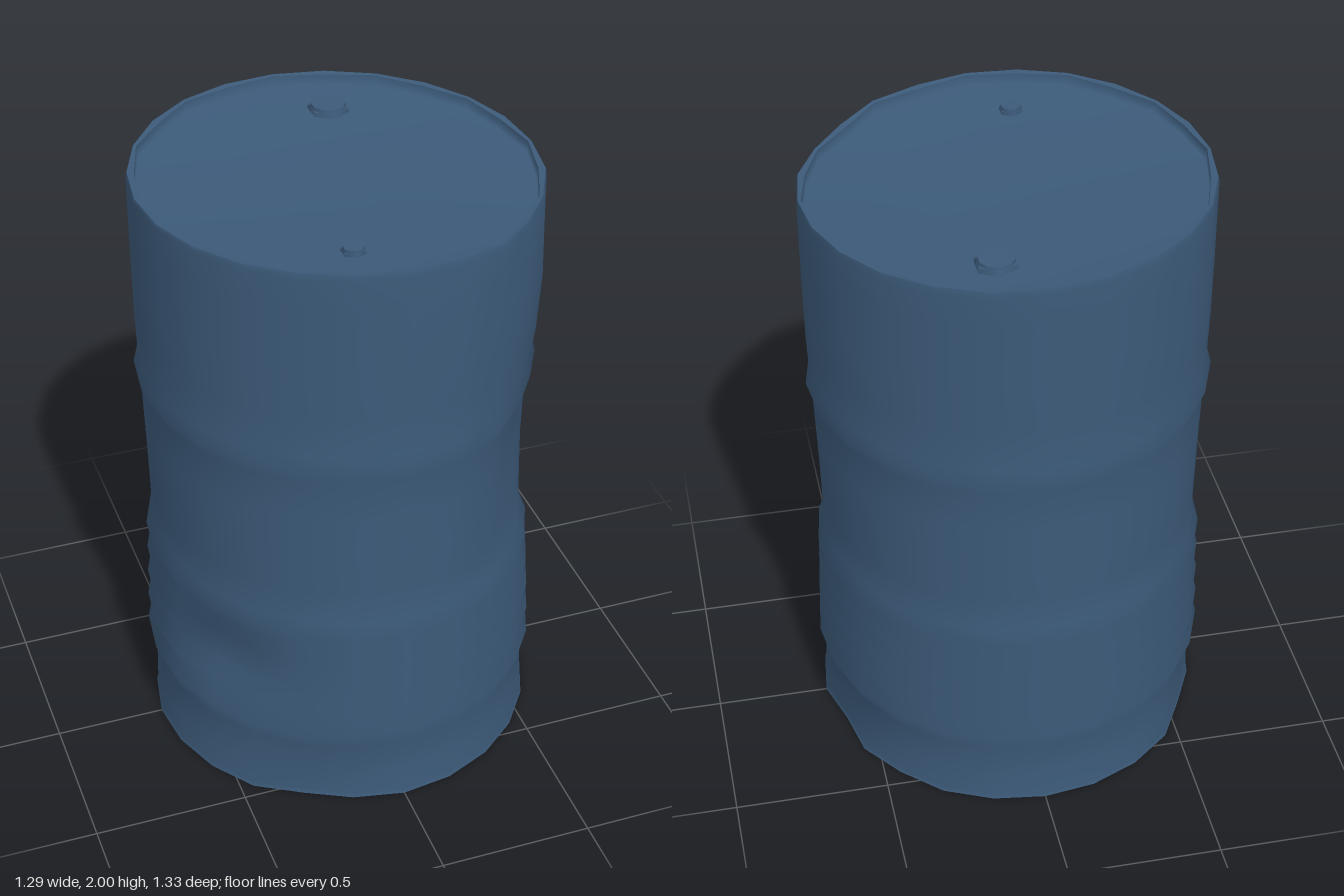
import * as THREE from 'three';

const SIDES = 24;

// Dents: angle from the front towards +x, height, depth, angular width, vertical width
const DENTS = [
  [0.96, 1.08, 0.055, 0.36, 0.36],
  [-0.96, 0.48, 0.05, 0.26, 0.14],
  [-0.42, 0.03, 0.04, 0.15, 0.12],
  [1.8, 0.03, 0.035, 0.13, 0.12],
  [2.25, 0.05, 0.025, 0.13, 0.1],
  [-2.0, 0.03, 0.035, 0.15, 0.12],
  [0.9, 2.0, 0.02, 0.2, 0.15],
  [0.2, 2.0, 0.012, 0.15, 0.12],
];

const bump = (t) => Math.exp(-t * t);
const wrap = (a) => Math.atan2(Math.sin(a), Math.cos(a));

// Point on the battered shell at angle a and height y, moved out by `out`
function shellPoint(a, y, out = 0) {
  const waist = bump((y - 0.75) / 0.5);
  const s = Math.sin(a), c = Math.cos(a);
  const rx = 0.64 - 0.02 * waist - (s > 0 ? 0.008 : 0);
  const rz = c > 0 ? 0.638 + 0.01 * bump(y / 0.8) : 0.65;
  let r = 1 / Math.hypot(s / rx, c / rz) + out;
  for (const [da, dy, depth, wa, wy] of DENTS) {
    r -= depth * bump(wrap(a - da) / wa) * bump((y - dy) / wy);
  }
  const sag = 0.012 * y * s * r + 0.022 * bump(wrap(a - 0.95) / 0.6) * bump((y - 2) / 0.2);
  const lift = 0.012 * y * 0.64 * y / 2;
  return [s * r, Math.min(2, y - sag - lift * (y < 1.9 ? 0 : 0.5)), c * r];
}

// Smooth skin through closed rings, listed from the bottom up for an outward face
function skin(rings, centre) {
  const pos = rings.flat(2), index = [];
  for (let j = 0; j < rings.length - 1; j++) {
    for (let i = 0; i < SIDES; i++) {
      const k = (i + 1) % SIDES;
      const a = j * SIDES + i, b = j * SIDES + k, c = a + SIDES, d = b + SIDES;
      index.push(a, b, d, a, d, c);
    }
  }
  if (centre) {
    const base = (rings.length - 1) * SIDES, tip = rings.length * SIDES;
    pos.push(...centre);
    for (let i = 0; i < SIDES; i++) index.push(base + i, base + (i + 1) % SIDES, tip);
  }
  const g = new THREE.BufferGeometry();
  g.setAttribute('position', new THREE.Float32BufferAttribute(pos, 3));
  g.setIndex(index);
  g.computeVertexNormals();
  return g;
}

const ring = (fn) => Array.from({ length: SIDES }, (_, i) => fn((i / SIDES) * Math.PI * 2, i));

export function createModel() {
  const group = new THREE.Group();
  const paint = new THREE.MeshStandardMaterial({ color: 0x3c5a79 });
  paint.name = 'blue paint';
  const add = (name, geometry) => {
    const mesh = new THREE.Mesh(geometry, paint);
    mesh.name = name;
    group.add(mesh);
    return mesh;
  };

  // Shell with five low corrugations and one upper hoop
  const levels = [[0, 0.004], [0.015, 0], [0.1, -0.004], [0.22, -0.008]];
  for (let i = 0; i < 5; i++) {
    const y = 0.28 + i * 0.1;
    levels.push([y, 0.016], [y + 0.05, -0.006]);
  }
  levels.push([0.85, -0.004], [1.0, -0.004], [1.13, -0.004], [1.27, -0.004], [1.315, 0.013],
    [1.36, -0.002], [1.5, 0], [1.7, 0], [1.88, 0], [1.98, 0], [2, -0.004]);
  add('shell', skin(levels.map(([y, out]) => ring((a) => shellPoint(a, y, out)))));

  // Rolled lip on top
  const rim = ring((a) => shellPoint(a, 2, -0.004));
  const inner = ring((a, i) => {
    const [x, y, z] = shellPoint(a, 2, i % 2 ? -0.026 : -0.014);
    return [x, y - 0.002, z];
  });
  add('lip', skin([rim, inner]));

  // Sunken lid, shaded as a shallow dish with its wall
  const low = inner.map(([x, y, z]) => [x * 0.995, y - 0.035, z * 0.995]);
  add('lid', skin([inner, low], [0, 1.952, 0]));

  // Flat base
  const foot = ring((a) => shellPoint(a, 0, 0.004)).reverse();
  const sole = foot.map(([x, y, z]) => [x * 0.98, 0.006, z * 0.98]);
  add('base', skin([foot, sole], [0, 0.006, 0]));

  // Two filler plugs, each a cap on a slightly larger nut
  for (const [name, x, z, r] of [['largePlug', 0.115, -0.43, 0.058], ['smallPlug', -0.105, 0.425, 0.034]]) {
    const nut = add(name + 'Nut', new THREE.CylinderGeometry(r * 1.1, r * 1.2, 0.02, 6));
    nut.position.set(x, 1.956, z);
    const cap = add(name + 'Cap', new THREE.CylinderGeometry(r * 0.95, r, 0.014, 10));
    cap.position.set(x, 1.97, z);
  }
  return group;
}
